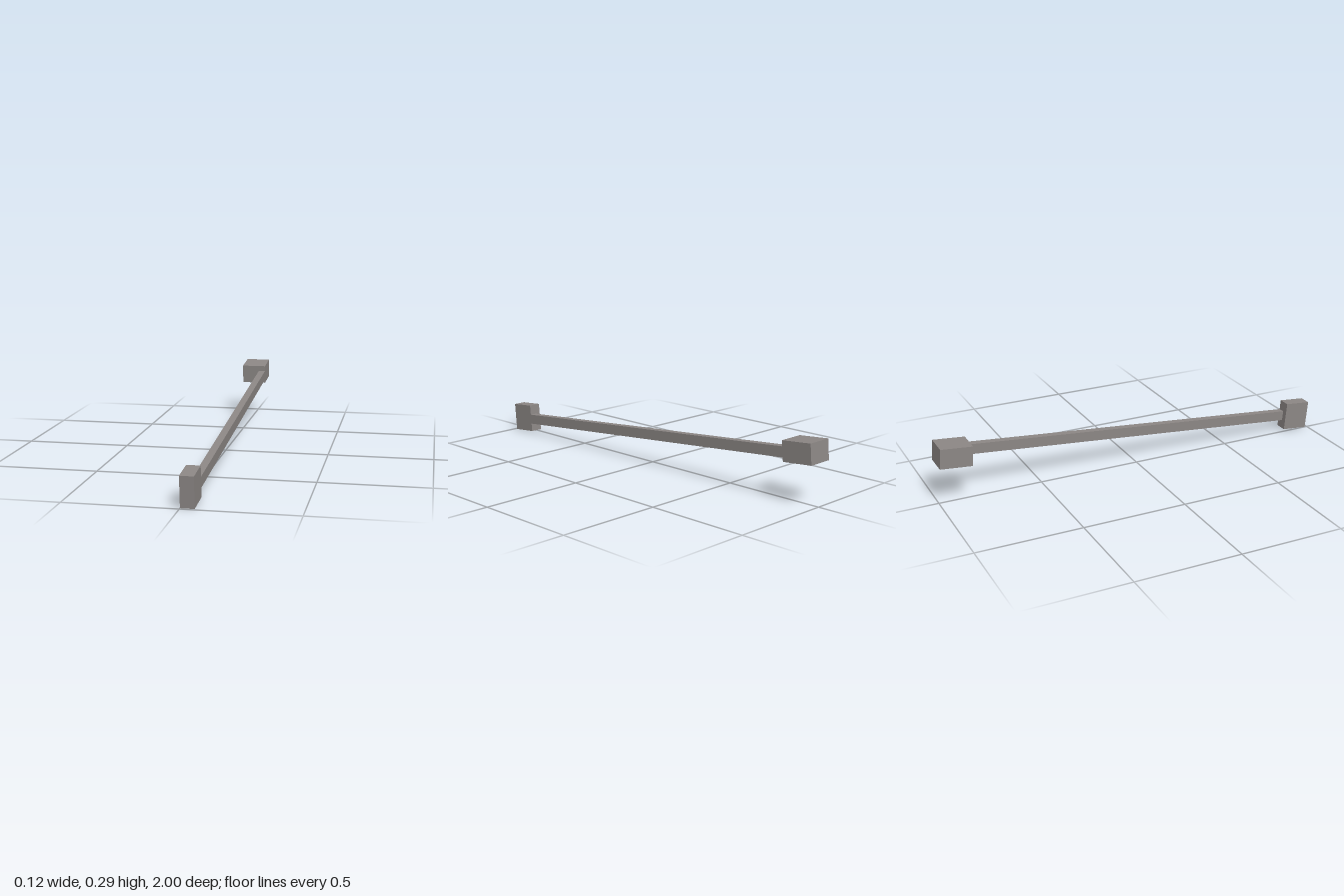
import * as THREE from 'three';

const grey = new THREE.MeshStandardMaterial({ color: 0x8c8785 });
grey.name = 'warm grey';

// Box given by its extents along x, y and z
function block(name, [x0, x1], [y0, y1], [z0, z1]) {
  const mesh = new THREE.Mesh(new THREE.BoxGeometry(x1 - x0, y1 - y0, z1 - z0), grey);
  mesh.position.set((x0 + x1) / 2, (y0 + y1) / 2, (z0 + z1) / 2);
  mesh.name = name;
  return mesh;
}

export function createModel() {
  const model = new THREE.Group();
  model.name = 'slopedBar';

  // All parts share one slope of five degrees, rising to the back
  const sloped = new THREE.Group();
  sloped.name = 'barAssembly';
  sloped.rotation.x = THREE.MathUtils.degToRad(5);

  const side = 0.061; // common flush side
  const frontEnd = 0.853, backEnd = -0.861; // where the bar meets the blocks

  sloped.add(
    block('bar', [0.027, side], [0.127, 0.176], [backEnd, frontEnd]),
    block('frontBlock', [0, side], [0.086, 0.225], [frontEnd, 0.984]),
    block('backBlock', [-0.062, side], [0.108, 0.203], [-1.013, backEnd]),
  );
  model.add(sloped);
  return model;
}
